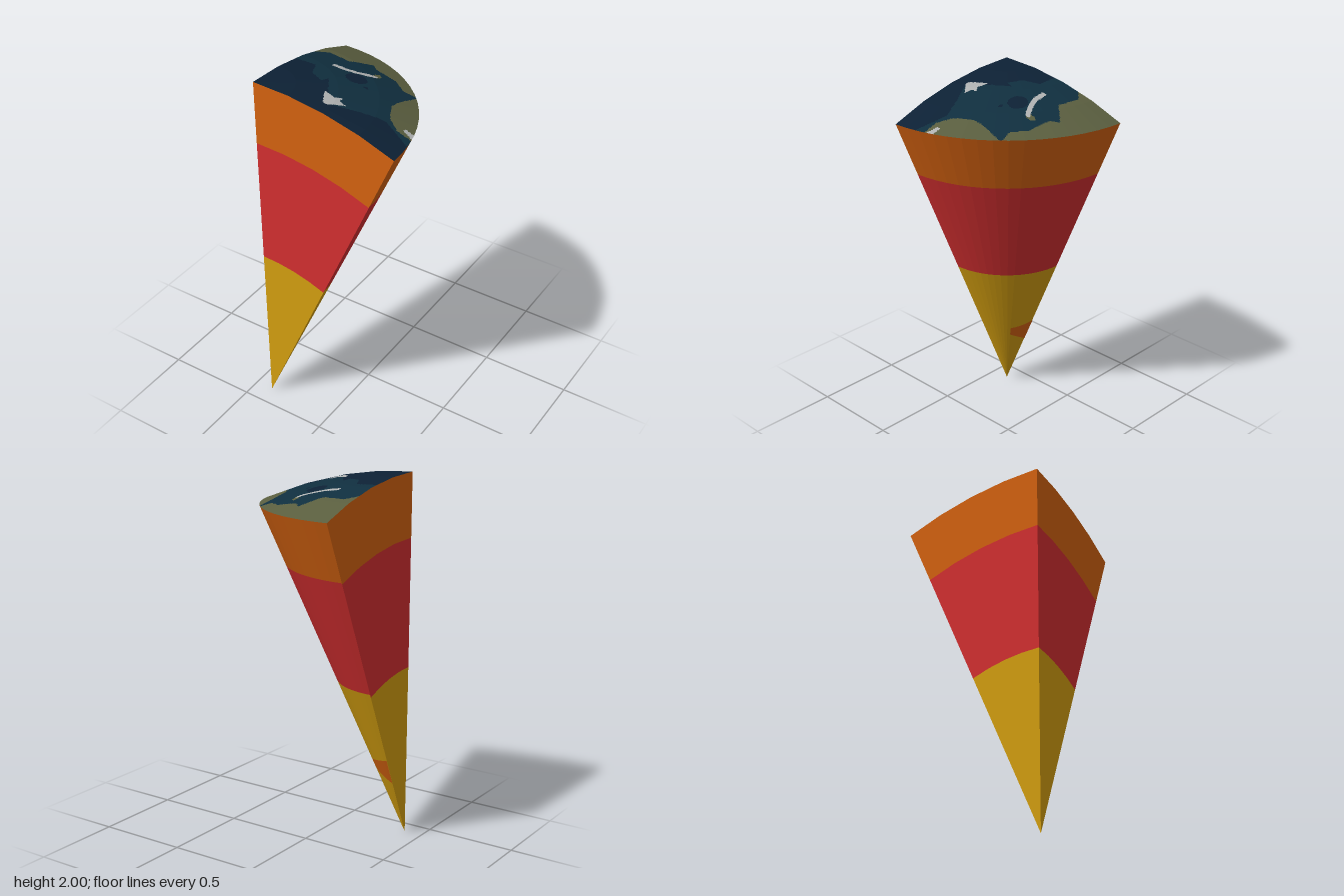
import * as THREE from 'three';

const R = 2, TILT = 0.408, SIDES = 16, RINGS = 4;
const AXIS_X = -0.397, AXIS_Z = 0.397;

const mat = (name, color) => {
  const m = new THREE.MeshStandardMaterial({ color });
  m.name = name;
  return m;
};

// Point at distance r from the tip, tilted t from the axis, turned phi from +x towards -z
const point = (r, t, phi) => new THREE.Vector3(
  AXIS_X + r * Math.sin(t) * Math.cos(phi),
  r * Math.cos(t),
  AXIS_Z - r * Math.sin(t) * Math.sin(phi));

const turn = (u) => u * Math.PI / 2;
const mix = THREE.MathUtils.lerp;

// Flat-faceted grid over f(u, v); pick(centre) chooses a bucket, one geometry per bucket
function grid(f, nu, nv, pick = () => 0) {
  const buckets = [];
  const face = new THREE.Triangle();
  for (let i = 0; i < nu; i++) {
    for (let j = 0; j < nv; j++) {
      const a = f(i / nu, j / nv), b = f((i + 1) / nu, j / nv);
      const c = f((i + 1) / nu, (j + 1) / nv), d = f(i / nu, (j + 1) / nv);
      const out = (buckets[pick(a.clone().add(c).multiplyScalar(0.5))] ??= []);
      for (const tri of [[a, b, c], [a, c, d]]) {
        if (face.set(...tri).getArea() < 1e-10) continue;
        for (const p of tri) out.push(p.x, p.y, p.z);
      }
    }
  }
  return buckets.map((pos) => {
    const g = new THREE.BufferGeometry();
    g.setAttribute('position', new THREE.Float32BufferAttribute(pos, 3));
    g.computeVertexNormals();
    return g;
  });
}

// Faceted dome: bilinear patches between coarse sphere points
function dome(u, v) {
  const i = Math.min(Math.floor(u * SIDES + 1e-6), SIDES - 1);
  const j = Math.min(Math.floor(v * RINGS + 1e-6), RINGS - 1);
  const node = (a, b) => point(R, TILT * (1 - b / RINGS), turn(a / SIDES));
  const low = node(i, j).lerp(node(i + 1, j), u * SIDES - i);
  const high = node(i, j + 1).lerp(node(i + 1, j + 1), u * SIDES - i);
  return low.lerp(high, v * RINGS - j);
}

// Height of a broken line at s, held level beyond its ends
function lineAt(s, ...pts) {
  if (s <= pts[0][0]) return pts[0][1];
  const k = pts.findIndex((p) => p[0] > s);
  if (k < 0) return pts[pts.length - 1][1];
  const [a, b] = [pts[k - 1], pts[k]];
  return mix(a[1], b[1], (s - a[0]) / (b[0] - a[0]));
}

const oval = (x, z, cx, cz, rx, rz) => ((x - cx) / rx) ** 2 + ((z - cz) / rz) ** 2 < 1;

// Water, land and cloud rules on the dome, seen from above
const isDeep = (x, z) => oval(x, z, -0.07, 0, 0.055, 0.05) || oval(x, z, 0.012, 0.04, 0.013, 0.01) ||
  z > lineAt(x, [-0.4, 0.05], [-0.28, 0.045], [-0.24, 0.13], [-0.165, 0.165], [-0.15, 0.12],
    [-0.08, 0.23], [-0.03, 0.325], [0.11, 0.25], [0.225, 0.2], [0.4, 0.27]);

const isNorthLand = (x, z) => x < 0.19 &&
  z < lineAt(x, [-0.4, -0.11], [-0.34, -0.165], [-0.21, -0.145], [-0.17, -0.19], [-0.12, -0.24],
    [-0.085, -0.2], [0.04, -0.185], [0.125, -0.125], [0.185, -0.14]);

const isEastLand = (x, z) => z > -0.13 && z < 0.21 &&
  x > lineAt(z, [-0.13, 0.195], [0, 0.173], [0.07, 0.175], [0.16, 0.225], [0.21, 0.295]);

const isLand = (x, z) => isNorthLand(x, z) || isEastLand(x, z) ||
  oval(x, z, -0.03, -0.125, 0.017, 0.028);

const isCrescentCloud = (x, z) => x > -0.232 && x < -0.022 &&
  Math.abs(z - lineAt(x, [-0.23, -0.033], [-0.155, -0.04], [-0.105, -0.06], [-0.022, -0.11])) < 0.015;

const isSouthCloud = (x, z) => x > -0.092 && x < 0.042 &&
  z > lineAt(x, [-0.09, 0.233], [-0.03, 0.248], [0, 0.222], [0.005, 0.255], [0.04, 0.262]) &&
  z < lineAt(x, [-0.09, 0.245], [-0.045, 0.325], [-0.02, 0.322], [0.04, 0.268]);

const isEastCloud = (x, z) => x > 0.312 && z > 0.162 && z < 0.18 + (x - 0.312) * 0.35;

function regionAt({ x, z }) {
  if (isCrescentCloud(x, z) || isSouthCloud(x, z) || isEastCloud(x, z)) return 3;
  if (isLand(x, z)) return 2;
  return isDeep(x, z) ? 1 : 0;
}

export function createModel() {
  const group = new THREE.Group();
  group.name = 'planetWedge';
  const yellow = mat('core yellow', 0xd39e10);
  const red = mat('mantle red', 0xd32f30);
  const orange = mat('crust orange', 0xd46210);
  const surface = [mat('ocean teal', 0x102f3f), mat('deep navy', 0x0d2135),
    mat('land olive', 0x5a5e3f), mat('cloud grey', 0xb0b2b2)];

  const add = (name, geometry, material) => {
    const mesh = new THREE.Mesh(geometry, material);
    mesh.name = name;
    group.add(mesh);
  };

  // Layers: two flat cut walls and the curved cone side
  const layers = [
    ['innerCore', yellow, [0, 0.952], [0, 0.97]],
    ['mantle', red, [0.952, 1.655], [0.97, 1.661]],
    ['crust', orange, [1.655, R], [1.661, R]],
  ];
  for (const [name, material, wall, side] of layers) {
    add(name + 'FrontWall', grid((u, v) => point(mix(...wall, v), TILT * u, 0), RINGS, 1)[0], material);
    add(name + 'RightWall',
      grid((u, v) => point(mix(...wall, v), TILT * (1 - u), turn(1)), RINGS, 1)[0], material);
    add(name + 'ConeSide', grid((u, v) => point(mix(...side, v), TILT, turn(u)), SIDES, 1)[0], material);
  }

  // Orange patch near the tip, laid just over the cone side
  add('tipPatch', grid((u, v) => point(
    mix(0.43 - 0.07 * u, 0.49 + 0.03 * u, v), TILT + 0.004, turn((9 + 7 * u) / SIDES)), 7, 1)[0], orange);

  // Domed top, split into water, land and cloud
  const names = ['ocean', 'deepOcean', 'land', 'clouds'];
  grid(dome, SIDES * 12, RINGS * 36, regionAt).forEach((g, k) => add(names[k], g, surface[k]));
  return group;
}
